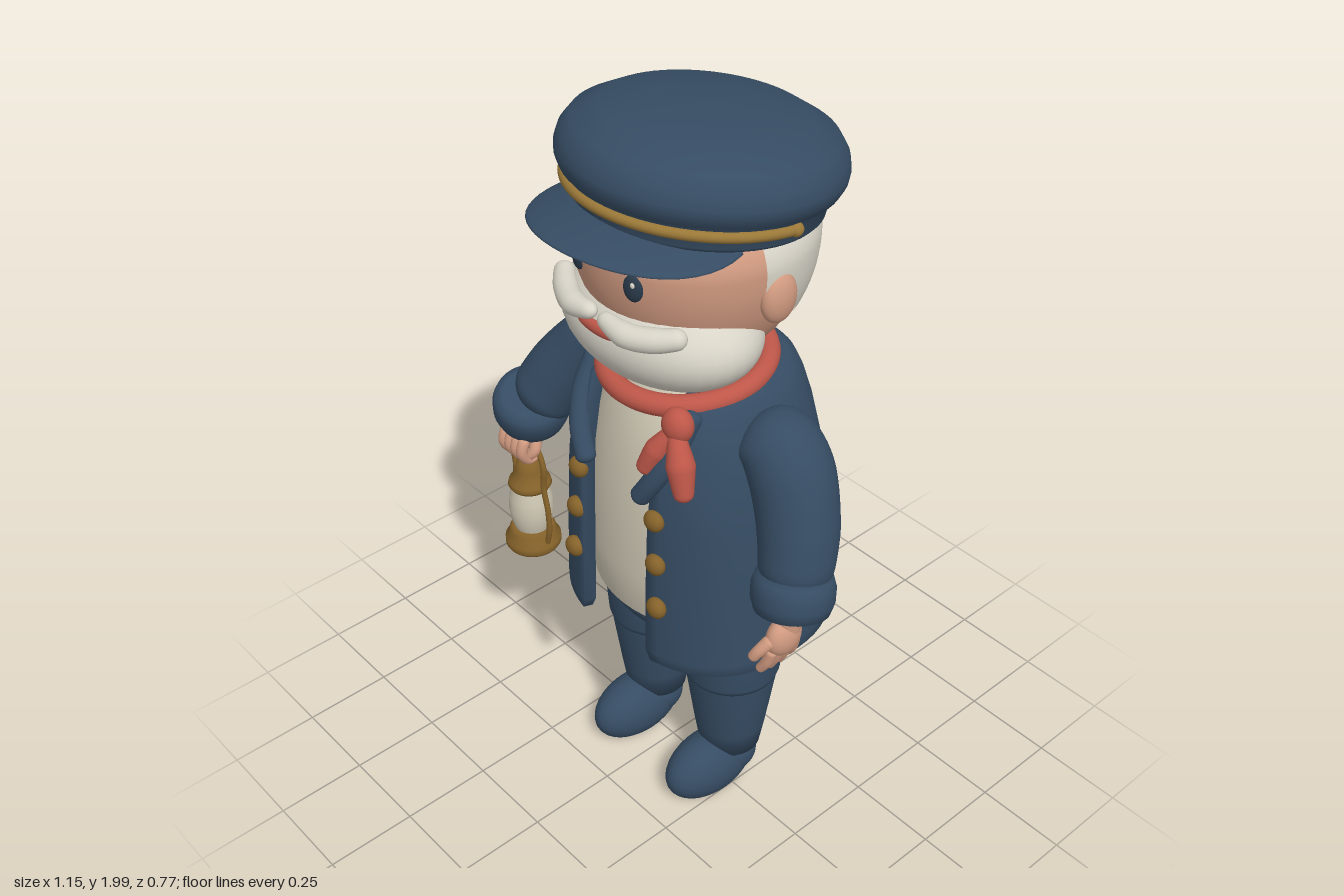
import * as THREE from 'three';
import { mergeVertices } from 'three/addons/utils/BufferGeometryUtils.js';

const V = (x, y, z) => new THREE.Vector3(x, y, z);
const CX = 0.035; // body centre line

function makeMaterials() {
  const colours = {
    navyCloth: 0x364c63, shirtCream: 0xcfc8b4, whiteHair: 0xd8d4c8, skin: 0xd09a80,
    redScarf: 0xbe5749, brass: 0x85622a, goldBraid: 0x9a7838, eyeDark: 0x2a3a4b,
  };
  const mats = {};
  for (const [name, color] of Object.entries(colours)) {
    mats[name] = new THREE.MeshStandardMaterial({ color });
    mats[name].name = name;
  }
  return mats;
}

function add(parent, name, geometry, material, pos = [0, 0, 0], scale = [1, 1, 1], rot = [0, 0, 0]) {
  const mesh = new THREE.Mesh(geometry, material);
  mesh.name = name;
  mesh.position.set(...pos);
  mesh.scale.set(...scale);
  mesh.rotation.set(...rot);
  parent.add(mesh);
  return mesh;
}

function group(parent, name, pos = [0, 0, 0]) {
  const g = new THREE.Group();
  g.name = name;
  g.position.set(...pos);
  parent.add(g);
  return g;
}

const ball = (parent, name, mat, pos, radii, rot) =>
  add(parent, name, new THREE.SphereGeometry(1, 36, 24), mat, pos, radii, rot);

const lathe = (pts, seg = 48) =>
  new THREE.LatheGeometry(pts.map(([r, y]) => new THREE.Vector2(r, y)), seg);

// Smooth tube with varying radius and rounded ends
function taper(points, radii, round = 0.12, n = 28, m = 18) {
  const curve = new THREE.CatmullRomCurve3(points.map((p) => V(...p)));
  const geo = new THREE.TubeGeometry(curve, n, 1, m);
  const pos = geo.attributes.position;
  const p = V();
  for (let i = 0; i <= n; i++) {
    const t = (1 - Math.cos((Math.PI * i) / n)) / 2; // finer steps at the ends
    const c = curve.getPointAt(i / n), c2 = curve.getPointAt(t);
    const f = t * (radii.length - 1), k = Math.min(Math.floor(f), radii.length - 2);
    let r = THREE.MathUtils.lerp(radii[k], radii[k + 1], f - k);
    const d = Math.min(t, 1 - t);
    if (d < round) r *= Math.sqrt(Math.max(0, 1 - ((round - d) / round) ** 2));
    for (let j = 0; j <= m; j++) {
      const id = i * (m + 1) + j;
      p.fromBufferAttribute(pos, id).sub(c).multiplyScalar(r).add(c2);
      pos.setXYZ(id, p.x, p.y, p.z);
    }
  }
  geo.deleteAttribute('uv');
  geo.deleteAttribute('normal');
  const out = mergeVertices(geo, 1e-5);
  out.computeVertexNormals();
  return out;
}

// Skin over closed rings listed from bottom to top
function loft(rings) {
  const n = rings[0].length, index = [];
  for (let i = 0; i < rings.length - 1; i++) {
    for (let j = 0; j < n; j++) {
      const a = i * n + j, b = i * n + ((j + 1) % n);
      index.push(a, b, a + n, b, b + n, a + n);
    }
  }
  const geo = new THREE.BufferGeometry().setFromPoints(rings.flat());
  geo.setIndex(index);
  geo.computeVertexNormals();
  return geo;
}

// Open-fronted coat shell; rows are height, half width, half depth, centre z, opening, thickness
function coatGeometry() {
  const rows = [
    [0.565, 0.345, 0.288, -0.057, 0.15, 0.0], [0.568, 0.356, 0.298, -0.057, 0.135, 0.025],
    [0.6, 0.356, 0.3, -0.057, 0.122, 0.03], [0.8, 0.345, 0.294, -0.055, 0.12, 0.03],
    [1.0, 0.33, 0.284, -0.05, 0.122, 0.03], [1.12, 0.308, 0.272, -0.045, 0.125, 0.03],
    [1.22, 0.28, 0.255, -0.045, 0.13, 0.03], [1.29, 0.253, 0.238, -0.045, 0.135, 0.03],
    [1.325, 0.23, 0.222, -0.048, 0.14, 0.03], [1.342, 0.205, 0.2, -0.05, 0.14, 0.025],
    [1.346, 0.17, 0.165, -0.05, 0.13, 0.0],
  ];
  const seg = 56, pw = (v) => Math.sign(v) * Math.abs(v) ** 0.8;
  return loft(rows.map(([y, rx, rz, cz, open, t]) => {
    const a0 = Math.asin((open / rx) ** 1.25);
    const at = (k, d) => {
      const a = a0 + ((2 * Math.PI - 2 * a0) * k) / seg;
      return V((rx - d) * pw(Math.sin(a)), y, cz + (rz - d) * pw(Math.cos(a)));
    };
    const ring = [];
    for (let k = 0; k <= seg; k++) ring.push(at(k, 0));
    for (let k = seg; k >= 0; k--) ring.push(at(k, t));
    return ring;
  }));
}

// Skull shape: tall below the brow line, shallow above; optionally only the hair area
function skullGeometry(hair) {
  const geo = hair
    ? new THREE.SphereGeometry(1, 48, 32, Math.PI - 0.17, Math.PI + 0.34)
    : new THREE.SphereGeometry(1, 48, 32);
  const pos = geo.attributes.position, uv = geo.attributes.uv;
  for (let i = 0; i < pos.count; i++) {
    let x = pos.getX(i), y = pos.getY(i), z = pos.getZ(i);
    if (hair) {
      const phi = Math.PI - 0.17 + uv.getX(i) * (Math.PI + 0.34);
      const back = Math.max(0, -Math.sin(phi));
      const theta = (1 - uv.getY(i)) * Math.acos(THREE.MathUtils.lerp(-0.33, -0.79, back));
      x = -Math.cos(phi) * Math.sin(theta);
      y = Math.cos(theta);
      z = Math.sin(phi) * Math.sin(theta);
    }
    pos.setXYZ(i, x * 0.288, y * (y > 0 ? 0.17 : 0.33), z * 0.285);
  }
  geo.computeVertexNormals();
  return geo;
}

export function createModel() {
  const M = makeMaterials();
  const root = new THREE.Group();
  root.name = 'sailor';
  const body = group(root, 'body', [CX, 0, 0]);

  // Legs and shoes
  const shoe = new THREE.SphereGeometry(1, 32, 24);
  const sp = shoe.attributes.position;
  for (let i = 0; i < sp.count; i++) sp.setY(i, Math.max(sp.getY(i), -0.68));
  shoe.computeVertexNormals();
  for (const s of [-1, 1]) {
    const leg = group(body, s > 0 ? 'leftLeg' : 'rightLeg', [0.154 * s, 0, -0.042]);
    add(leg, 'shin', lathe([[0, 0.1], [0.085, 0.12], [0.098, 0.2], [0.125, 0.39], [0.12, 0.42]]), M.navyCloth);
    add(leg, 'thigh', lathe([[0.11, 0.392], [0.127, 0.395], [0.132, 0.41], [0.14, 0.52], [0.138, 0.6], [0, 0.66]]), M.navyCloth);
    add(leg, 'shoe', shoe, M.navyCloth, [0, 0.066, 0.076], [0.083, 0.095, 0.146]);
    ball(leg, 'ankle', M.navyCloth, [0, 0.085, 0.005], [0.082, 0.075, 0.078]);
  }
  ball(body, 'hips', M.navyCloth, [0, 0.645, -0.045], [0.27, 0.13, 0.23]);

  // Shirt and coat
  const shirtRows = [[0.64, 0.001, 0.001], [0.642, 0.26, 0.235], [0.66, 0.29, 0.255], [0.8, 0.31, 0.27],
    [1.0, 0.3, 0.262], [1.15, 0.265, 0.245], [1.27, 0.215, 0.215], [1.34, 0.15, 0.17]];
  add(body, 'shirt', loft(shirtRows.map(([y, rx, rz]) => Array.from({ length: 48 }, (_, k) => {
    const a = (k / 48) * Math.PI * 2;
    return V(rx * Math.sin(a), y, -0.05 + rz * Math.cos(a));
  }))), M.shirtCream);
  add(body, 'coat', coatGeometry(), M.navyCloth);
  for (const s of [-1, 1]) {
    add(body, 'lapel', taper([[0.175 * s, 1.325, 0.12], [0.168 * s, 1.23, 0.178], [0.138 * s, 1.15, 0.212], [0.095 * s, 1.075, 0.23]],
      [0.028, 0.028, 0.028, 0.026], 0.06), M.navyCloth);
    [[0.143, 1.03], [0.152, 0.9], [0.16, 0.766]].forEach(([x, y], i) =>
      ball(body, 'coatButton', M.brass, [x * s, y, 0.22 + i * 0.005], [0.029, 0.029, 0.022]));
  }

  // Neck and scarf
  add(body, 'neck', new THREE.CylinderGeometry(0.125, 0.14, 0.12, 36), M.whiteHair, [0, 1.37, -0.04]);
  add(body, 'scarfRing', new THREE.TorusGeometry(0.2, 0.028, 14, 56), M.redScarf, [0, 1.335, -0.015], [0.98, 1, 1], [Math.PI / 2 + 0.09, 0, 0]);
  ball(body, 'scarfKnot', M.redScarf, [0.17, 1.305, 0.168], [0.042, 0.045, 0.036]);
  add(body, 'scarfTail', taper([[0.17, 1.3, 0.175], [0.135, 1.23, 0.205], [0.11, 1.165, 0.225]], [0.016, 0.03, 0.022], 0.1), M.redScarf);
  add(body, 'scarfTail', taper([[0.17, 1.3, 0.175], [0.205, 1.23, 0.192], [0.235, 1.135, 0.205]], [0.018, 0.036, 0.022], 0.1), M.redScarf);

  // Head, hair and face
  const head = group(body, 'head');
  add(head, 'face', skullGeometry(false), M.skin, [0, 1.69, -0.035]);
  add(head, 'hair', skullGeometry(true), M.whiteHair, [0, 1.69, -0.035], [1.02, 1.02, 1.02]);
  ball(head, 'beard', M.whiteHair, [0, 1.488, 0.068], [0.283, 0.146, 0.198]);
  ball(head, 'mouth', M.redScarf, [0, 1.53, 0.262], [0.065, 0.016, 0.012]);
  for (const s of [-1, 1]) {
    add(head, 'moustache', taper([[0.008 * s, 1.566, 0.258], [0.09 * s, 1.552, 0.255], [0.16 * s, 1.556, 0.222], [0.215 * s, 1.57, 0.18]],
      [0.018, 0.03, 0.03, 0.024], 0.1), M.whiteHair);
    ball(head, 'eye', M.eyeDark, [0.095 * s, 1.665, 0.232], [0.025, 0.034, 0.012], [0, 0.3 * s, 0]);
    ball(head, 'eyeGlint', M.whiteHair, [0.095 * s + 0.01, 1.68, 0.243], [0.006, 0.007, 0.004]);
    add(head, 'eyebrow', taper([[0.053 * s, 1.737, 0.238], [0.095 * s, 1.742, 0.228], [0.138 * s, 1.726, 0.206]], [0.016, 0.019, 0.016], 0.15), M.whiteHair);
    ball(head, 'ear', M.skin, [0.283 * s, 1.622, -0.03], [0.03, 0.064, 0.05]);
  }

  // Cap, tilted back
  const cap = group(body, 'cap', [0, 1.8, -0.05]);
  cap.rotation.x = -0.13;
  add(cap, 'capCrown', lathe([[0, -0.05], [0.284, -0.05], [0.293, -0.04], [0.3, 0], [0.322, 0.022], [0.333, 0.045], [0.335, 0.065],
    [0.328, 0.095], [0.305, 0.128], [0.24, 0.163], [0.13, 0.18], [0, 0.184]], 64), M.navyCloth);
  add(cap, 'capBraid', new THREE.TorusGeometry(0.308, 0.013, 12, 48, Math.PI), M.goldBraid, [0, -0.004, 0], [1, 1, 1], [Math.PI / 2, 0, 0]);
  for (const s of [-1, 1]) ball(cap, 'braidButton', M.goldBraid, [0.307 * s, -0.004, 0], [0.018, 0.018, 0.018]);
  const brim = new THREE.SphereGeometry(1, 48, 20).scale(0.265, 0.02, 0.25);
  const bp = brim.attributes.position;
  for (let i = 0; i < bp.count; i++) bp.setY(i, bp.getY(i) - 0.5 * bp.getX(i) ** 2);
  brim.computeVertexNormals();
  add(body, 'capBrim', brim, M.navyCloth, [0, 1.783, 0.126]);

  // Arms with rolled cuffs
  const sleeves = [
    ['rightArm', [[-0.19, 1.25, -0.04], [-0.3, 1.2, -0.035], [-0.4, 1.09, 0.02], [-0.47, 0.96, 0.088]], [-0.475, 0.965, 0.088], [0.25, 0, -0.32]],
    ['leftArm', [[0.26, 1.26, -0.035], [0.36, 1.2, -0.035], [0.435, 1.04, -0.012], [0.47, 0.88, 0.032]], [0.47, 0.888, 0.032], [-0.2, 0, 0.15]],
  ];
  const cuffShape = lathe([[0, -0.055], [0.075, -0.055], [0.095, -0.045], [0.104, -0.015], [0.104, 0.02], [0.096, 0.045], [0.075, 0.056], [0, 0.056]]);
  for (const [name, path, cuff, rot] of sleeves) {
    const arm = group(root, name);
    add(arm, 'sleeve', taper(path, [0.1, 0.106, 0.1, 0.088], 0.17, 40, 28), M.navyCloth);
    add(arm, 'cuff', cuffShape, M.navyCloth, cuff, [1, 1, 1], rot);
  }

  // Right hand gripping the lantern
  const fist = group(root, 'rightHand', [-0.475, 0.88, 0.11]);
  ball(fist, 'palm', M.skin, [0, 0.005, -0.005], [0.052, 0.05, 0.045]);
  add(fist, 'wrist', new THREE.CylinderGeometry(0.042, 0.04, 0.07, 24), M.skin, [0, 0.04, -0.01]);
  for (let i = 0; i < 4; i++) {
    const x = -0.04 + i * 0.0265;
    add(fist, 'finger', taper([[x, 0.02, 0.035], [x, -0.025, 0.048], [x, -0.058, 0.025], [x, -0.05, -0.005]], [0.016, 0.016, 0.015, 0.014], 0.15), M.skin);
  }
  add(fist, 'thumb', taper([[0.04, 0.015, 0], [0.052, -0.025, 0.015], [0.035, -0.05, 0.03]], [0.016, 0.016, 0.014], 0.2), M.skin);

  // Left hand hanging open
  const hand = group(root, 'leftHand', [0.482, 0.77, 0.07]);
  add(hand, 'wrist', new THREE.CylinderGeometry(0.036, 0.033, 0.1, 24), M.skin, [-0.002, 0.06, -0.012]);
  ball(hand, 'palm', M.skin, [0, 0.005, 0], [0.034, 0.055, 0.053]);
  for (let i = 0; i < 4; i++) {
    const z = 0.036 - i * 0.025, end = -0.105 - (i === 1 || i === 2 ? 0.008 : 0);
    add(hand, 'finger', taper([[0, -0.02, z], [-0.012, -0.065, z * 1.15], [-0.034, end, z * 1.3]], [0.016, 0.015, 0.012], 0.12), M.skin);
  }
  add(hand, 'thumb', taper([[0, 0.015, 0.04], [-0.015, -0.015, 0.068], [-0.03, -0.045, 0.078]], [0.018, 0.016, 0.014], 0.15), M.skin);

  // Lantern
  const lantern = group(root, 'lantern', [-0.475, 0.495, 0.11]);
  add(lantern, 'lanternBase', lathe([[0, 0], [0.074, 0], [0.079, 0.008], [0.079, 0.026], [0.068, 0.036], [0.066, 0.055], [0.056, 0.066], [0, 0.066]]), M.brass);
  add(lantern, 'lanternGlass', lathe([[0.048, 0.06], [0.058, 0.09], [0.063, 0.13], [0.06, 0.17], [0.05, 0.212]]), M.shirtCream);
  add(lantern, 'lanternTop', lathe([[0, 0.205], [0.056, 0.205], [0.061, 0.214], [0.058, 0.226], [0.046, 0.24], [0.038, 0.265],
    [0.034, 0.285], [0.022, 0.298], [0, 0.302]]), M.brass);
  const frame = [[-0.064, 0.03, 0], [-0.077, 0.08, 0], [-0.077, 0.15, 0], [-0.062, 0.23, 0], [-0.066, 0.3, 0], [-0.042, 0.35, 0]];
  const handle = [...frame, [0, 0.366, 0], ...frame.map(([x, y, z]) => [-x, y, z]).reverse()];
  add(lantern, 'lanternHandle', new THREE.TubeGeometry(new THREE.CatmullRomCurve3(handle.map((p) => V(...p))), 72, 0.008, 10), M.brass);

  return root;
}
